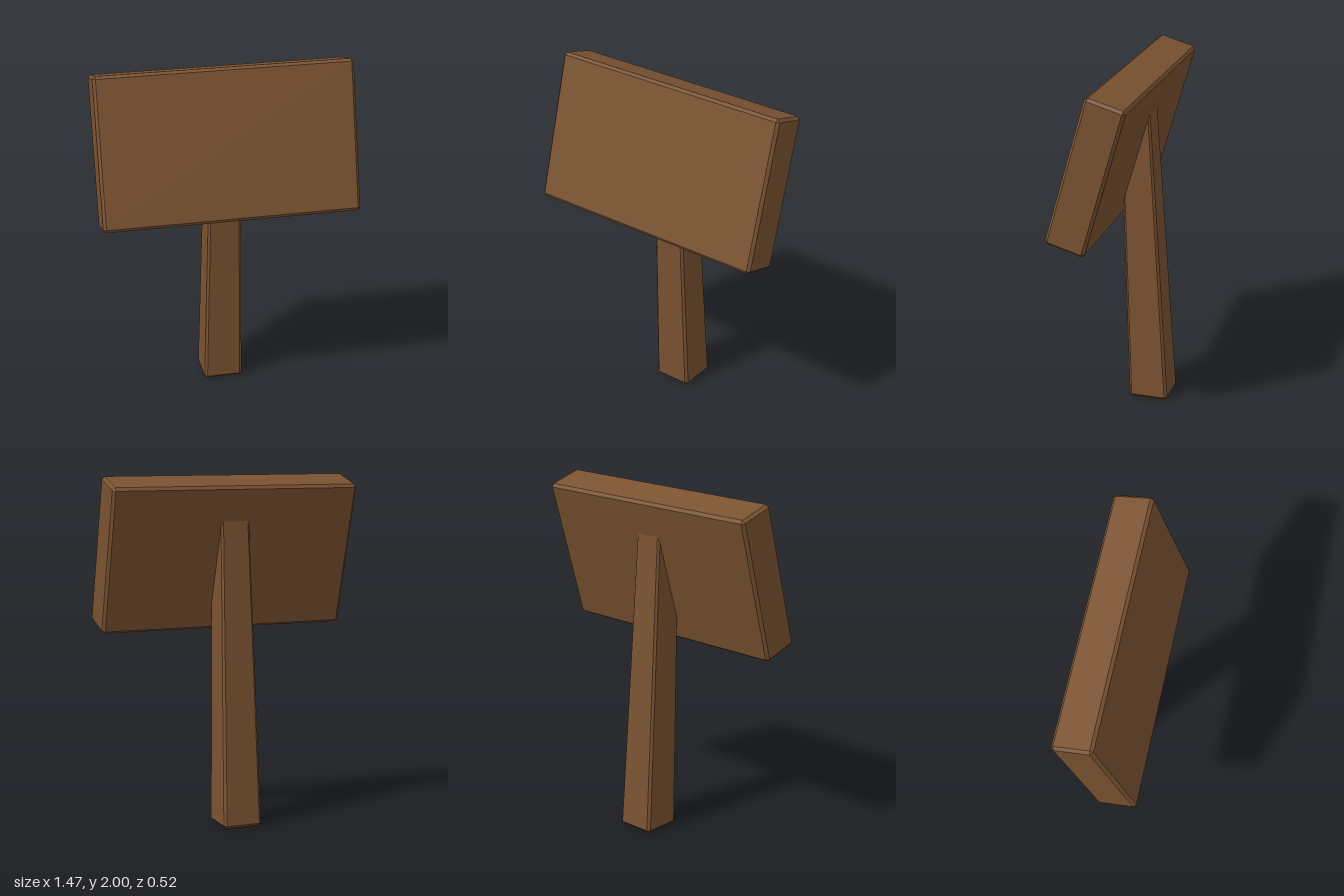
import * as THREE from 'three';
import { ConvexGeometry } from 'three/addons/geometries/ConvexGeometry.js';

// Box with flat chamfers on every edge; map places each corner point.
function chamferedBox(w, h, d, c, map = (x, y, z) => new THREE.Vector3(x, y, z)) {
  const points = [];
  for (const sx of [-1, 1]) for (const sy of [-1, 1]) for (const sz of [-1, 1]) {
    for (let axis = 0; axis < 3; axis++) {
      // each corner becomes three points, one on each neighbouring face
      const inset = [c, c, c];
      inset[axis] = 0;
      points.push(map(sx * (w / 2 - inset[0]), sy * (h / 2 - inset[1]), sz * (d / 2 - inset[2])));
    }
  }
  return new ConvexGeometry(points);
}

export function createModel() {
  const model = new THREE.Group();
  model.name = 'signpost';
  const wood = new THREE.MeshStandardMaterial({ color: 0x7a5231 });
  wood.name = 'brown wood';

  // Sign board, leaning back
  const board = new THREE.Mesh(chamferedBox(1.47, 0.86, 0.23, 0.016), wood);
  board.name = 'signBoard';
  board.position.set(0, 1.56, 0.035);
  board.rotation.x = -0.28;
  model.add(board);

  // Post, tapering upward and leaning forward into the board
  const height = 1.8;
  const taper = (x, y, z) => {
    const t = y / height + 0.5;
    const centre = THREE.MathUtils.lerp(-0.145, -0.05, t);
    return new THREE.Vector3(
      x * THREE.MathUtils.lerp(1, 0.73, t),
      y + height / 2,
      centre + z * THREE.MathUtils.lerp(1, 0.73, t)
    );
  };
  const post = new THREE.Mesh(chamferedBox(0.23, height, 0.23, 0.015, taper), wood);
  post.name = 'post';
  model.add(post);

  return model;
}
